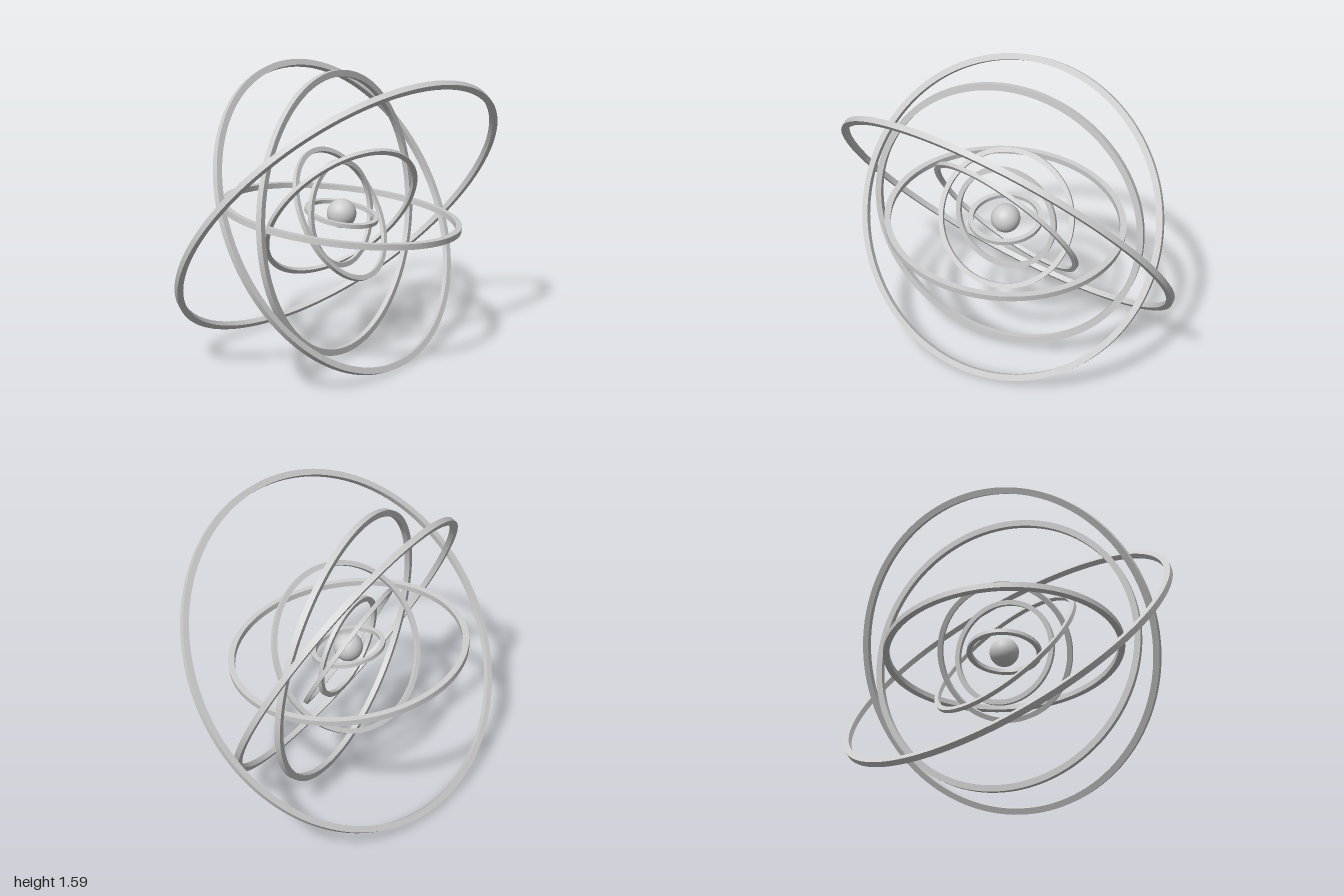
import * as THREE from 'three';
import { toCreasedNormals } from 'three/addons/utils/BufferGeometryUtils.js';

export function createModel() {
  const model = new THREE.Group();
  model.name = 'ringedOrb';
  const grey = new THREE.MeshStandardMaterial({ color: 0xcccccc });
  grey.name = 'light grey';
  const centreY = 0.8;
  const up = new THREE.Vector3(0, 1, 0);

  // flat-sided band with a rectangular section, tilted so its axis follows the given normal
  function addRing(name, radius, width, height, normal) {
    const inner = radius - width, h = height / 2;
    const profile = [[inner, -h], [radius, -h], [radius, h], [inner, h], [inner, -h]]
      .map(([r, y]) => new THREE.Vector2(r, y));
    const geometry = toCreasedNormals(new THREE.LatheGeometry(profile, 128), 0.6);
    const ring = new THREE.Mesh(geometry, grey);
    ring.name = name;
    ring.position.y = centreY;
    ring.quaternion.setFromUnitVectors(up, new THREE.Vector3(...normal).normalize());
    model.add(ring);
  }

  // central ball
  const core = new THREE.Mesh(new THREE.SphereGeometry(0.08, 32, 24), grey);
  core.name = 'core';
  core.position.y = centreY;
  model.add(core);

  // four large and four small nested rings: radius and axis direction
  const outer = [
    [1.003, [-0.11, 0.63, -0.77]],
    [0.885, [0.28, 0.45, 0.848]],
    [0.77, [0.415, 0.085, 0.905]],
    [0.653, [0.104, 1, 0.043]],
  ];
  const inner = [
    [0.47, [-0.02, 0.55, -0.83]],
    [0.383, [0.39, 0.47, 0.79]],
    [0.293, [0.37, 0.13, 0.92]],
    [0.203, [0.1, 1, 0.15]],
  ];
  outer.forEach(([r, n], i) => addRing(`outerRing${i + 1}`, r, 0.034, 0.031, n));
  inner.forEach(([r, n], i) => addRing(`innerRing${i + 1}`, r, 0.027, 0.022, n));

  return model;
}
